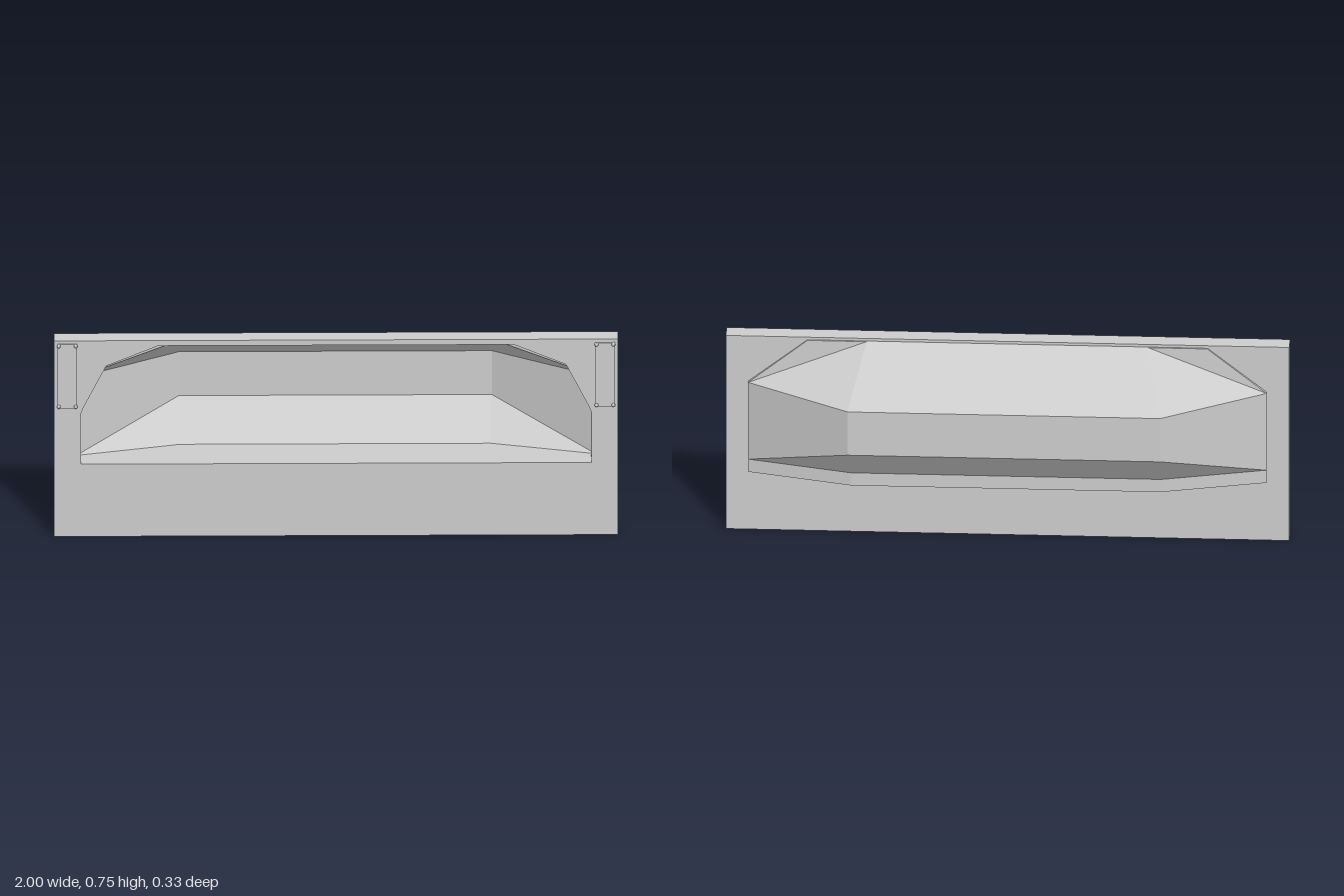
import * as THREE from 'three';

const grey = new THREE.MeshStandardMaterial({ color: 0xcccccc, flatShading: true });
const greyThin = new THREE.MeshStandardMaterial({ color: 0xcccccc, flatShading: true, side: THREE.DoubleSide });

// closed shape from its right half, mirrored over x = 0
function mirroredPoints(half) {
  const other = half.map(([x, y]) => [-x, y]).reverse();
  return [...half, ...other].map(([x, y]) => new THREE.Vector2(x, y));
}

function addMesh(parent, name, geometry, material = grey) {
  const mesh = new THREE.Mesh(geometry, material);
  mesh.name = name;
  parent.add(mesh);
  return mesh;
}

// faceted skin over rows of points; each row is half a section, rim to corner
function shellGeometry(rows) {
  const grid = rows.map(row => [...row, ...row.map(([x, y, z]) => [-x, y, z]).reverse()]);
  const out = [];
  for (let r = 0; r < grid.length - 1; r++) {
    for (let c = 0; c < grid[r].length - 1; c++) {
      const a = grid[r][c], b = grid[r + 1][c], d = grid[r + 1][c + 1], e = grid[r][c + 1];
      const tris = c < rows[r].length ? [a, b, e, b, d, e] : [a, b, d, a, d, e];
      out.push(...tris.flat());
    }
  }
  const geometry = new THREE.BufferGeometry();
  geometry.setAttribute('position', new THREE.Float32BufferAttribute(out, 3));
  geometry.computeVertexNormals();
  return geometry;
}

export function createModel() {
  const model = new THREE.Group();
  model.name = 'wallNiche';

  // front panel with the niche opening
  const panel = new THREE.Shape(mirroredPoints([[1, 0], [1, 0.75]]));
  panel.holes.push(new THREE.Path(mirroredPoints(
    [[0.905, 0.277], [0.905, 0.47], [0.895, 0.495], [0.815, 0.653], [0.63, 0.73]])));
  const panelGeometry = new THREE.ExtrudeGeometry(panel, { depth: 0.07, bevelEnabled: false });
  addMesh(model, 'frontPanel', panelGeometry).position.z = 0.085;

  // faceted recess behind the opening
  addMesh(model, 'recessShell', shellGeometry([
    [[0.71, 0.74, 0.085], [0.71, 0.74, 0.085], [0.5, 0.74, 0.085]],
    [[0.71, 0.74, 0.085], [0.71, 0.74, 0.079], [0.5, 0.74, 0.079]],
    [[0.92, 0.575, 0.085], [0.92, 0.575, 0.073], [0.555, 0.575, -0.165]],
    [[0.92, 0.407, 0.085], [0.92, 0.407, 0.073], [0.555, 0.407, -0.165]],
    [[0.92, 0.277, 0.085], [0.92, 0.277, 0.073], [0.55, 0.277, -0.027]],
  ]), greyThin);

  // thick floor of the recess
  const floor = new THREE.Shape(mirroredPoints([[0.55, 0.027], [0.92, -0.073], [0.92, -0.085]]));
  const floorGeometry = new THREE.ExtrudeGeometry(floor, { depth: 0.049, bevelEnabled: false });
  floorGeometry.rotateX(-Math.PI / 2);
  addMesh(model, 'recessFloor', floorGeometry).position.y = 0.228;

  // thin corner plates, each held by four domed screws
  for (const side of [-1, 1]) {
    const plate = new THREE.Group();
    plate.name = side > 0 ? 'leftPlate' : 'rightPlate';
    plate.position.set(side * 0.953, 0.615, 0.155);
    addMesh(plate, 'plate', new THREE.BoxGeometry(0.07, 0.245, 0.006)).position.z = 0.002;
    for (const x of [-0.03, 0.03]) {
      for (const y of [-0.116, 0.116]) {
        const screw = addMesh(plate, 'screw', new THREE.SphereGeometry(0.007, 12, 8));
        screw.position.set(x, y, 0.005);
      }
    }
    model.add(plate);
  }
  return model;
}
